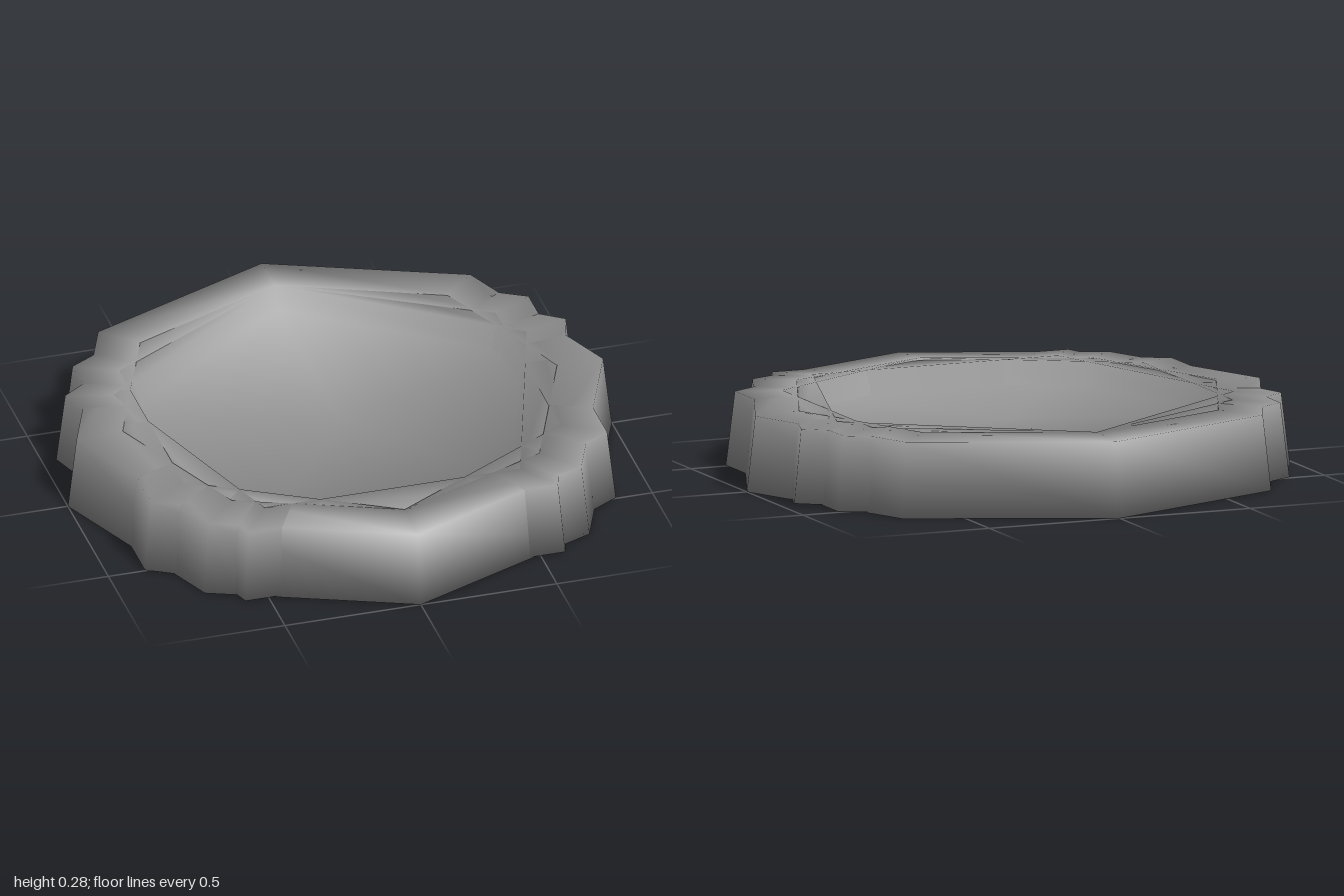
import * as THREE from 'three';

// One low-sided dish; a corner always points to the back.
function makeDish(name, sides, lift, material) {
  // Each row: radius, height, then the outward and upward parts of the soft normal
  const profile = [
    [0, lift, 0, -0.66], [1, lift, 0.75, -0.66],               // underside
    [0.968, 0.269, 0.72, 0.7], [0.8, 0.276, -0.55, 0.83],      // outer wall and rim
    [0.768, 0.185 + lift, -0.58, 0.81],                        // inner wall
    [0, 0.185 + lift, 0, 0.81],                                // floor
  ];
  const geometry = new THREE.LatheGeometry(
    profile.map(([r, y]) => new THREE.Vector2(r, y)), sides, Math.PI, Math.PI * 2);

  // Blend the shading over the edges, so that wall, rim and floor flow together
  const normal = geometry.attributes.normal;
  for (let i = 0; i <= sides; i++) {
    const angle = Math.PI + (i / sides) * Math.PI * 2;
    profile.forEach(([, , out, up], j) => normal.setXYZ(
      i * profile.length + j, out * Math.sin(angle), up, out * Math.cos(angle)));
  }
  const mesh = new THREE.Mesh(geometry, material);
  mesh.name = name;
  return mesh;
}

export function createModel() {
  const group = new THREE.Group();
  group.name = 'shallowDish';
  const stone = new THREE.MeshStandardMaterial({ color: 0x969696 });
  stone.name = 'stone grey';

  // Three overlapping polygons give the notched outline and stepped rim
  group.add(
    makeDish('eightSidedDish', 8, 0, stone),
    makeDish('sixSidedDish', 6, 0.003, stone),
    makeDish('fiveSidedDish', 5, 0.006, stone),
  );
  return group;
}
